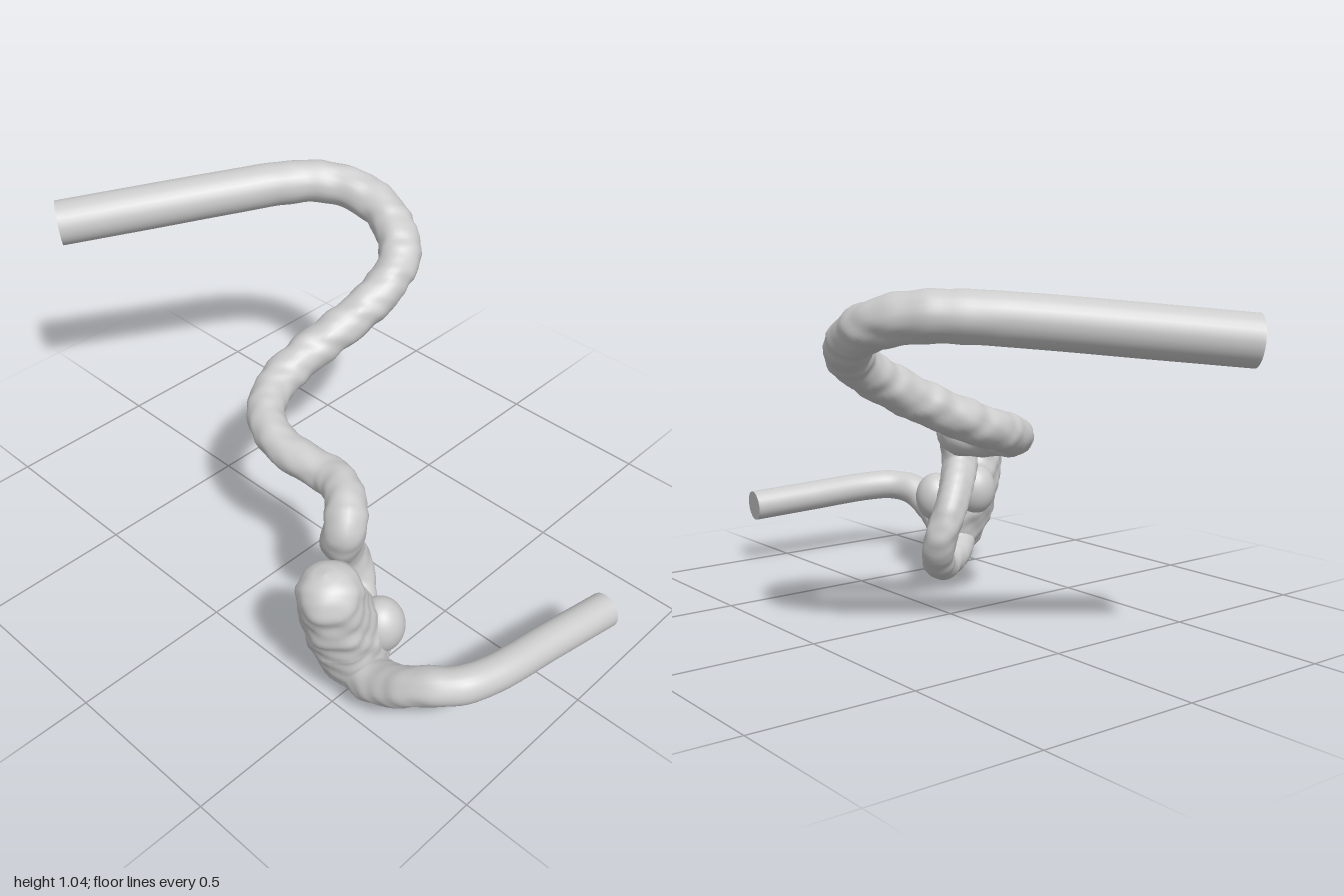
import * as THREE from 'three';
import { mergeVertices } from 'three/addons/utils/BufferGeometryUtils.js';

const material = new THREE.MeshStandardMaterial({ color: 0xcccccc });

// Gentle organic unevenness of the wall
const bump = (p) =>
  Math.sin(p.x * 47 + p.y * 31) * Math.sin(p.z * 43 - p.y * 29 + 1) +
  0.6 * Math.sin(p.x * 83 - p.z * 71) * Math.sin(p.y * 89 + 2);

// Centre line with stations [x, y, z, radius]
function makeCurve(stations) {
  return new THREE.CatmullRomCurve3(stations.map(([x, y, z]) => new THREE.Vector3(x, y, z)), false, 'centripetal');
}

// Tube whose radius follows the stations; noise(u) scales the bumps
function vesselGeometry(stations, segments, sides, noise, round = () => 1) {
  const curve = makeCurve(stations);
  const geo = new THREE.TubeGeometry(curve, segments, 1, sides, false);
  const pos = geo.attributes.position;
  const v = new THREE.Vector3();
  for (let i = 0; i <= segments; i++) {
    const u = i / segments;
    const centre = curve.getPointAt(u);
    const f = curve.getUtoTmapping(u) * (stations.length - 1);
    const k = Math.min(Math.floor(f), stations.length - 2);
    const r = THREE.MathUtils.lerp(stations[k][3], stations[k + 1][3], f - k) * round(u);
    for (let j = 0; j <= sides; j++) {
      const n = i * (sides + 1) + j;
      v.fromBufferAttribute(pos, n).sub(centre);
      const p = v.clone().multiplyScalar(r).add(centre);
      v.multiplyScalar(r * (1 + noise(u) * bump(p))).add(centre);
      pos.setXYZ(n, v.x, v.y, v.z);
    }
  }
  geo.deleteAttribute('uv');
  geo.deleteAttribute('normal');
  const merged = mergeVertices(geo, 1e-5);
  merged.computeVertexNormals();
  return merged;
}

export function createModel() {
  const group = new THREE.Group();
  const add = (name, geo) => {
    const mesh = new THREE.Mesh(geo, material);
    mesh.name = name;
    group.add(mesh);
    return mesh;
  };

  // Winding vessel from the wide inlet to the narrow outlet
  const vessel = [
    [-0.265, 0.905, -0.95, 0.072],
    [-0.03, 0.931, -0.794, 0.072],
    [0.2, 0.956, -0.642, 0.071],
    [0.34, 0.968, -0.55, 0.07],
    [0.44, 0.97, -0.46, 0.068],
    [0.505, 0.94, -0.32, 0.067],
    [0.49, 0.89, -0.2, 0.067],
    [0.43, 0.835, -0.115, 0.066],
    [0.33, 0.775, -0.09, 0.064],
    [0.2, 0.705, -0.11, 0.064],
    [0.06, 0.64, -0.145, 0.063],
    [-0.06, 0.598, -0.15, 0.062],
    [-0.16, 0.57, -0.11, 0.06],
    [-0.22, 0.547, -0.03, 0.058],
    [-0.235, 0.527, 0.09, 0.057],
    [-0.218, 0.515, 0.21, 0.058],
    [-0.25, 0.52, 0.3, 0.06],
    [-0.31, 0.49, 0.365, 0.064],
    [-0.31, 0.41, 0.35, 0.062],
    [-0.25, 0.33, 0.295, 0.058],
    [-0.195, 0.25, 0.262, 0.055],
    [-0.165, 0.15, 0.275, 0.054],
    [-0.205, 0.07, 0.325, 0.053],
    [-0.29, 0.055, 0.375, 0.046],
    [-0.37, 0.085, 0.43, 0.05],
    [-0.42, 0.125, 0.52, 0.075],
    [-0.438, 0.14, 0.61, 0.068],
    [-0.443, 0.18, 0.69, 0.06],
    [-0.425, 0.23, 0.77, 0.055],
    [-0.37, 0.248, 0.845, 0.053],
    [-0.28, 0.246, 0.882, 0.052],
    [-0.06, 0.232, 0.914, 0.052],
    [0.162, 0.217, 0.946, 0.052],
  ];
  const ss = THREE.MathUtils.smoothstep;
  const wall = (u) => 0.05 * ss(u, 0.14, 0.22) * (1 - ss(u, 0.84, 0.89));
  add('vessel', vesselGeometry(vessel, 420, 28, wall));

  // Flat end discs
  const path = makeCurve(vessel);
  [[0, 'inletEnd', -1], [1, 'outletEnd', 1]].forEach(([u, name, sign]) => {
    const disc = add(name, new THREE.CircleGeometry(vessel[u * (vessel.length - 1)][3], 28));
    disc.position.copy(path.getPointAt(u));
    const dir = path.getTangentAt(u).multiplyScalar(sign);
    disc.quaternion.setFromUnitVectors(new THREE.Vector3(0, 0, 1), dir);
  });

  // Swollen sac with domed ends
  const sac = [
    [-0.52, 0.522, 0.49, 0.094],
    [-0.5, 0.43, 0.49, 0.094],
    [-0.467, 0.33, 0.485, 0.106],
    [-0.435, 0.24, 0.488, 0.11],
    [-0.415, 0.15, 0.505, 0.1],
    [-0.41, 0.04, 0.52, 0.085],
  ];
  const dome = (u) => {
    const d = Math.min(1, Math.min(u, 1 - u) / 0.18);
    return Math.max(0.002, Math.sqrt(1 - (1 - d) ** 2));
  };
  add('sac', vesselGeometry(sac, 90, 40, () => 0.045, dome));

  // Side lobes bulging from the sac
  [['frontLobe', -0.355, 0.25, 0.545, 0.072], ['backLobe', -0.425, 0.29, 0.415, 0.075]].forEach(([name, x, y, z, r]) => {
    const geo = new THREE.SphereGeometry(r, 32, 24);
    geo.scale(1, 1.2, 1);
    geo.translate(x, y, z);
    add(name, geo);
  });

  return group;
}
